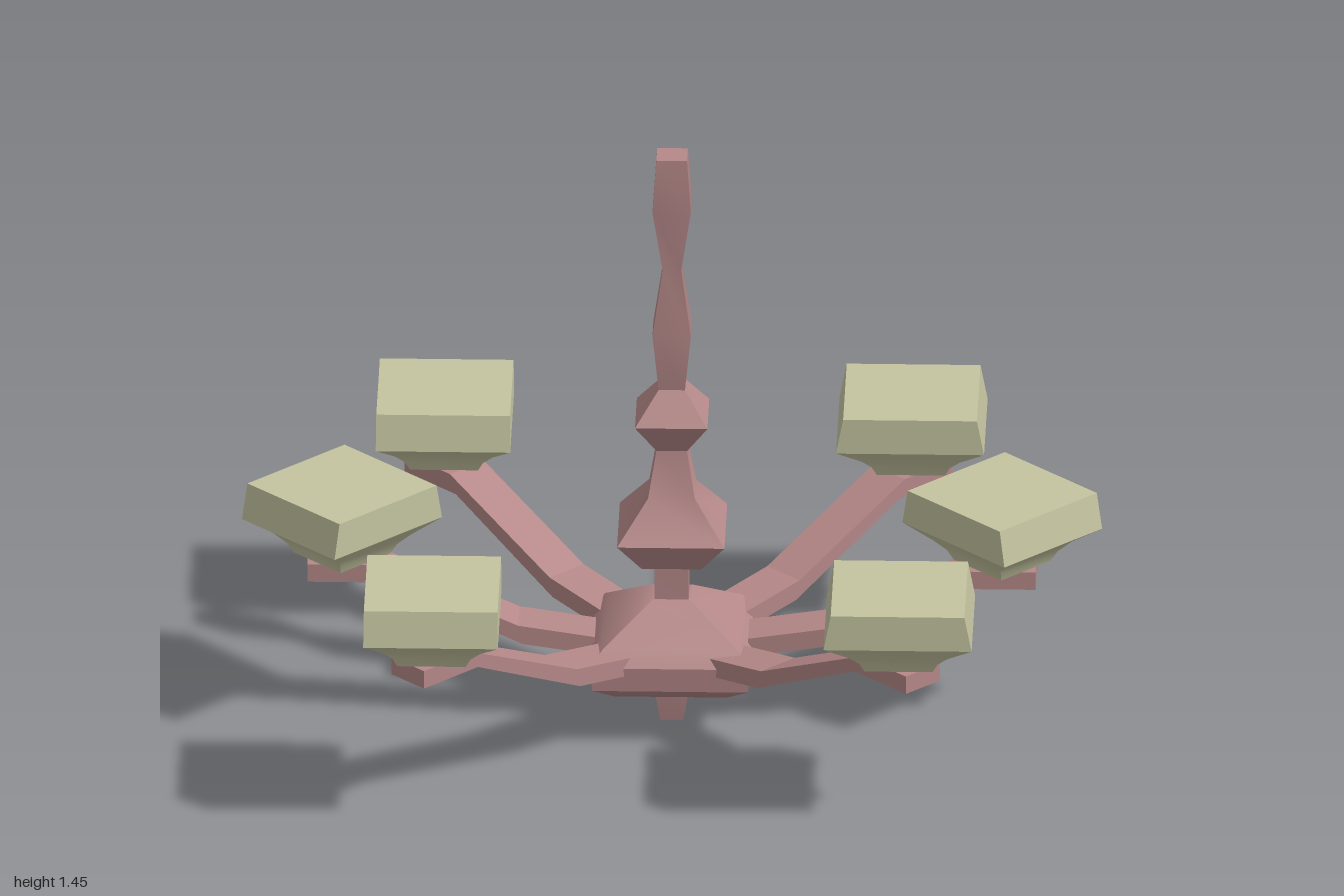
import * as THREE from 'three';
import { toCreasedNormals } from 'three/addons/utils/BufferGeometryUtils.js';

const metal = new THREE.MeshStandardMaterial({ color: 0xb58888 });
const glass = new THREE.MeshStandardMaterial({ color: 0xc4c4a0 });

// Four-sided turned solid; profile is [half width, height] from bottom to top, ends closed.
function squareTurned(profile) {
  const pts = profile.map(([h, y]) => new THREE.Vector2(h * Math.SQRT2, y));
  pts.unshift(new THREE.Vector2(0, pts[0].y));
  pts.push(new THREE.Vector2(0, pts[pts.length - 1].y));
  return new THREE.LatheGeometry(pts, 4, Math.PI / 4);
}

function addPart(parent, name, geometry, material, crease = 0.7) {
  const mesh = new THREE.Mesh(toCreasedNormals(geometry, crease), material);
  mesh.name = name;
  parent.add(mesh);
  return mesh;
}

// Bent bar, pointing along +x
function armGeometry() {
  const outline = [
    [0.18, 0.18], [0.35, 0.205], [0.68, 0.36], [0.855, 0.36],
    [0.855, 0.405], [0.70, 0.405], [0.36, 0.252], [0.18, 0.225],
  ];
  const shape = new THREE.Shape(outline.map(([x, y]) => new THREE.Vector2(x, y)));
  const geo = new THREE.ExtrudeGeometry(shape, { depth: 0.11, bevelEnabled: false });
  return geo.translate(0, 0, -0.055);
}

// Square shade, its shoulder bulging slightly along one axis
function shadeGeometry() {
  const shoulder = 0.5;
  const geo = squareTurned([
    [0.08, 0.41], [0.092, 0.435], [0.115, 0.46], [0.158, shoulder], [0.157, 0.587],
  ]);
  const p = geo.attributes.position;
  for (let i = 0; i < p.count; i++) {
    if (Math.abs(p.getY(i) - shoulder) < 0.001) p.setX(i, p.getX(i) * 1.1);
  }
  return geo;
}

export function createModel() {
  const model = new THREE.Group();
  model.name = 'chandelier';

  // Central stem with its knop and flared collar
  addPart(model, 'stem', squareTurned([
    [0.027, 0], [0.045, 0.11], [0.04, 0.3], [0.04, 0.41],
    [0.07, 0.41], [0.126, 0.49], [0.055, 0.585], [0.036, 0.70],
    [0.085, 0.78], [0.031, 0.855], [0.045, 1.0], [0.022, 1.16],
    [0.045, 1.32], [0.036, 1.45],
  ]), metal, 0.5);

  // Hub the arms grow from
  addPart(model, 'hub', squareTurned([
    [0.132, 0.108], [0.183, 0.145], [0.187, 0.205], [0.16, 0.24], [0.045, 0.318],
  ]), metal);

  // Six arms, each carrying a shade: [arm angle, shade turn] in eighths of a circle
  const arm = armGeometry(), shade = shadeGeometry();
  const layout = [[0, -1], [1, 0], [3, 2], [4, 1], [5, 2], [7, 0]];
  for (const [dir, turn] of layout) {
    const a = dir * Math.PI / 4;
    addPart(model, 'arm', arm, metal, 0.2).rotation.y = a;
    const cup = addPart(model, 'shade', shade, glass, 0.8);
    cup.position.set(0.775 * Math.cos(a), 0, -0.775 * Math.sin(a));
    cup.rotation.y = turn * Math.PI / 4;
  }
  return model;
}
